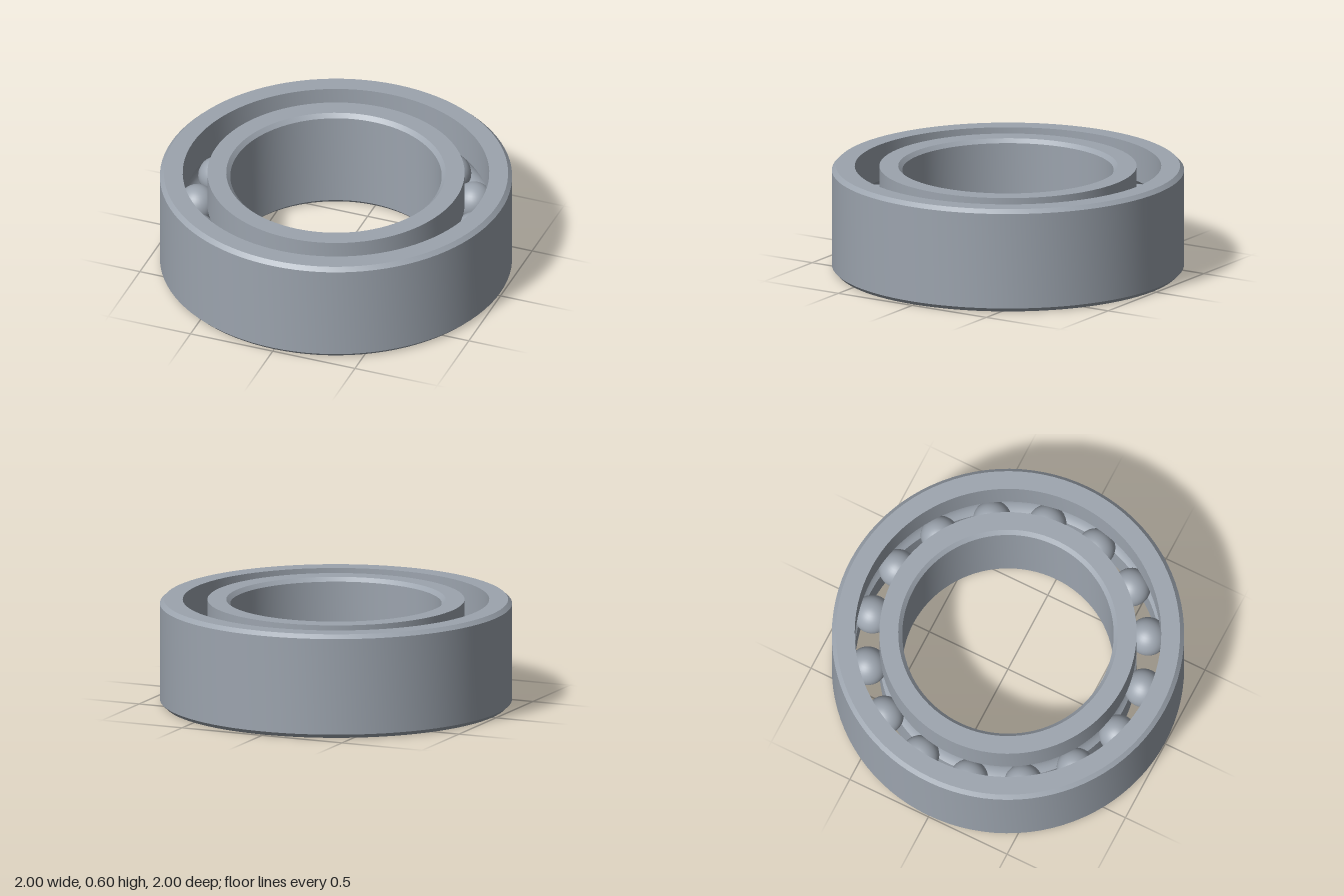
import * as THREE from 'three';
import { toCreasedNormals } from 'three/addons/utils/BufferGeometryUtils.js';

const HEIGHT = 0.6, MID = HEIGHT / 2, CHAMFER = 0.023;
const PITCH = 0.8;          // radius of the circle of ball centres
const BALL = 0.11, GROOVE = 0.113, HALF_GAP = 0.07;
const BALL_COUNT = 16, BALL_START = THREE.MathUtils.degToRad(11.8);

// Arc of a ball groove in the ring's cross-section
function grooveArc(from, to, steps = 10) {
  return Array.from({ length: steps + 1 }, (_, i) => {
    const a = from + (to - from) * i / steps;
    return [PITCH + GROOVE * Math.cos(a), MID + GROOVE * Math.sin(a)];
  });
}

// Revolve a closed counter-clockwise cross-section, keeping its edges sharp
function ring(name, section, material) {
  const points = [...section, section[0]].map(([r, y]) => new THREE.Vector2(r, y));
  const geometry = toCreasedNormals(new THREE.LatheGeometry(points, 96), Math.PI / 6);
  const mesh = new THREE.Mesh(geometry, material);
  mesh.name = name;
  return mesh;
}

export function createModel() {
  const steel = new THREE.MeshStandardMaterial({ color: 0x9ca4ae });
  steel.name = 'steel';

  const model = new THREE.Group();
  model.name = 'ballBearing';

  const spread = Math.acos(HALF_GAP / GROOVE);
  const outerWall = PITCH + HALF_GAP, innerWall = PITCH - HALF_GAP;

  // Outer ring: chamfered outside, grooved inside
  model.add(ring('outerRing', [
    [outerWall, 0], [1 - CHAMFER, 0], [1, CHAMFER],
    [1, HEIGHT - CHAMFER], [1 - CHAMFER, HEIGHT], [outerWall, HEIGHT],
    ...grooveArc(spread, -spread),
  ], steel));

  // Inner ring: grooved outside, chamfered bore
  const bore = 0.6;
  model.add(ring('innerRing', [
    [bore + CHAMFER, 0], [innerWall, 0],
    ...grooveArc(Math.PI + spread, Math.PI - spread),
    [innerWall, HEIGHT], [bore + CHAMFER, HEIGHT],
    [bore, HEIGHT - CHAMFER], [bore, CHAMFER],
  ], steel));

  // Balls running in the grooves
  const balls = new THREE.Group();
  balls.name = 'balls';
  const ballGeometry = new THREE.SphereGeometry(BALL, 32, 20);
  for (let i = 0; i < BALL_COUNT; i++) {
    const a = BALL_START + i * 2 * Math.PI / BALL_COUNT;
    const ball = new THREE.Mesh(ballGeometry, steel);
    ball.name = `ball${i + 1}`;
    ball.position.set(PITCH * Math.cos(a), MID, PITCH * Math.sin(a));
    balls.add(ball);
  }
  model.add(balls);

  return model;
}
